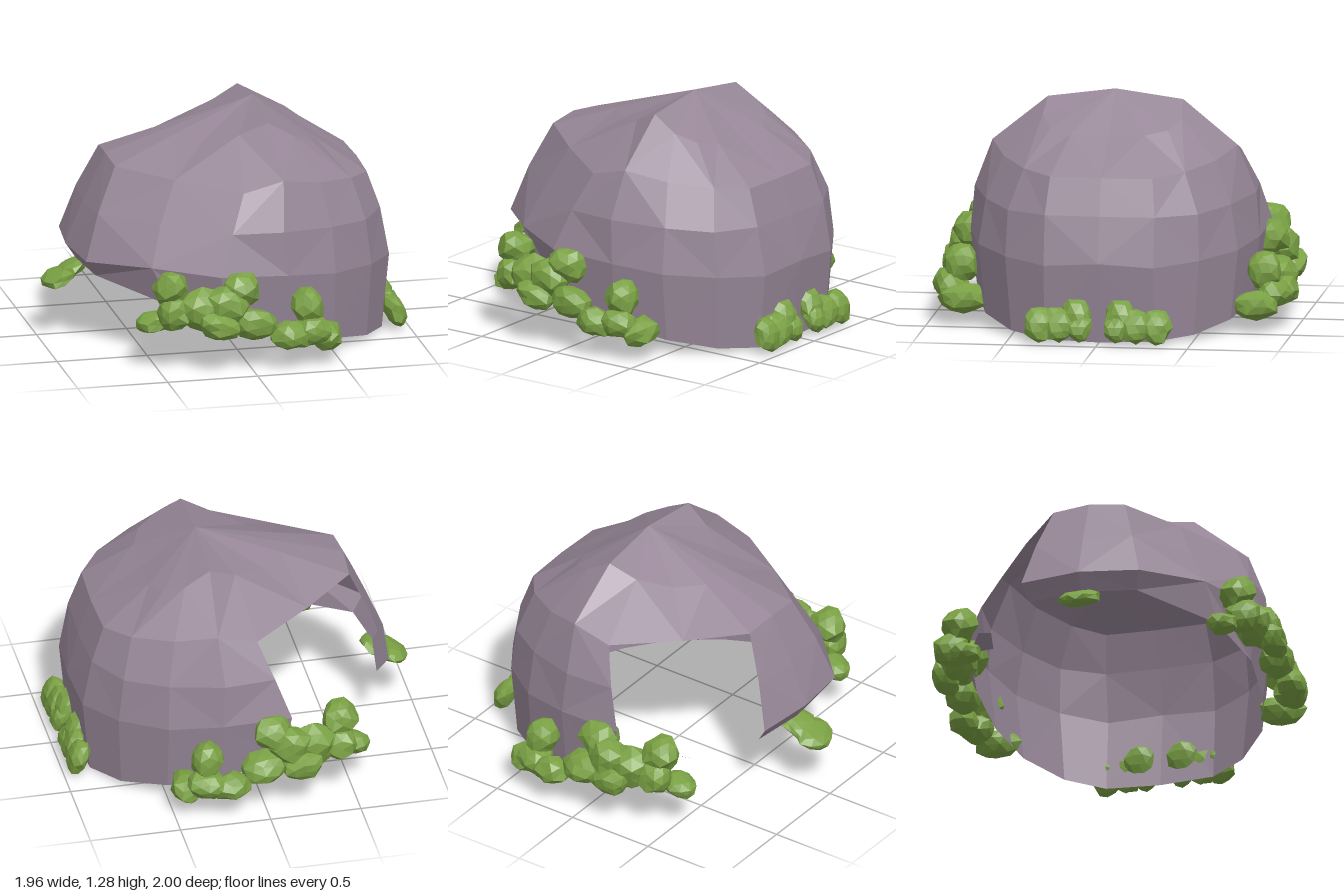
import * as THREE from 'three';

const rock = new THREE.MeshStandardMaterial({ color: 0x968697, side: THREE.DoubleSide });
rock.name = 'mauve stone';
const leaf = new THREE.MeshStandardMaterial({ color: 0x7aa144 });
leaf.name = 'leaf green';

// Half rings of the shell, from +x round the front to -x, mirrored in z
const RINGS = [
  // tilted rim
  [[.86, .01, 0], [.85, .02, .3], [.72, .04, .5], [.5, .09, .67], [.22, .15, .75],
    [-.1, .23, .77], [-.4, .33, .66], [-.74, .42, .3], [-.78, .43, 0]],
  // belly
  [[.91, .45, 0], [.89, .43, .3], [.74, .45, .53], [.5, .47, .71], [.22, .5, .79],
    [-.16, .52, .81], [-.5, .54, .62], [-.8, .51, .33], [-.84, .52, 0]],
  // upper wall
  [[.85, .7, 0], [.84, .7, .3], [.71, .7, .52], [.49, .72, .67], [.2, .74, .77],
    [-.08, .74, .75], [-.43, .75, .52], [-.72, .76, .27], [-.745, .75, 0]],
  // shoulder
  [[.78, .9, 0], [.77, .9, .28], [.65, .92, .44], [.44, .95, .58], [.22, 1, .67],
    [0, .94, .66], [-.33, .97, .43], [-.61, 1, .2], [-.62, 1.02, 0]],
  // crown, with the cross ridge at x = 0.2
  [[.5, 1.08, 0], [.5, 1.09, .2], [.45, 1.11, .32], [.34, 1.16, .38], [.2, 1.24, .37],
    [.05, 1.17, .33], [-.12, 1.125, .22], [-.25, 1.13, .1], [-.25, 1.14, 0]],
];
const APEX = [.2, 1.29, 0];
const N = 16;

function ringPoint(level, j) {
  j %= N;
  if (j <= 8) return RINGS[level][j];
  const [x, y, z] = RINGS[level][N - j];
  return [x, y, -z];
}

function facets(points) {
  const g = new THREE.BufferGeometry();
  g.setAttribute('position', new THREE.Float32BufferAttribute(points.flat(), 3));
  g.computeVertexNormals();
  return g;
}

function shellGeometry() {
  const tris = [];
  for (let i = 0; i < RINGS.length - 1; i++) {
    for (let j = 0; j < N; j++) {
      // doorway at the back, towards -x
      if (i < 3 && (j === 9 || j === 10)) continue;
      const a = ringPoint(i, j), b = ringPoint(i, j + 1);
      const c = ringPoint(i + 1, j + 1), d = ringPoint(i + 1, j);
      if ((i + j) % 2) tris.push(a, d, c, a, c, b);
      else tris.push(a, d, b, d, c, b);
    }
  }
  for (let j = 0; j < N; j++) tris.push(ringPoint(4, j), APEX, ringPoint(4, j + 1));
  return facets(tris);
}

// Lumpy faceted ball; equal corners get equal offsets so it stays closed
function lumpGeometry(seed) {
  const g = new THREE.IcosahedronGeometry(1, 1);
  const p = g.attributes.position;
  const v = new THREE.Vector3();
  for (let i = 0; i < p.count; i++) {
    v.fromBufferAttribute(p, i);
    const s = Math.sin(Math.round(v.x * 50) * 1.7 + Math.round(v.y * 50) * 2.3
      + Math.round(v.z * 50) * 3.1 + seed * 7.7) * 43.7;
    v.multiplyScalar(.86 + .28 * (s - Math.floor(s)));
    p.setXYZ(i, v.x, v.y, v.z);
  }
  g.computeVertexNormals();
  return g;
}

// Each lump: centre x y z, half sizes x y z, tilt about z
function bush(name, lumps, mirror = 1) {
  const group = new THREE.Group();
  group.name = name;
  lumps.forEach(([x, y, z, sx, sy, sz, tilt = 0], i) => {
    const m = new THREE.Mesh(lumpGeometry(i + 1), leaf);
    m.name = 'leafClump';
    m.position.set(x, y, z * mirror);
    m.scale.set(sx, sy, sz);
    m.rotation.z = tilt;
    group.add(m);
  });
  return group;
}

const SIDE_LUMPS = [
  [-.51, .27, .72, .1, .06, .085, .3],
  [-.43, .47, .78, .1, .1, .1],
  [-.42, .34, .82, .1, .1, .1],
  [-.27, .35, .83, .13, .12, .11],
  [-.14, .38, .86, .12, .11, .1],
  [-.2, .28, .92, .12, .075, .08, -.2],
  [-.05, .45, .82, .11, .1, .1],
  [.02, .27, .88, .13, .09, .09, -.2],
  [.2, .2, .92, .11, .075, .08, -.2],
  [.32, .33, .83, .09, .11, .09],
  [.33, .21, .88, .11, .08, .1],
  [.42, .16, .8, .09, .08, .13],
];

const END_LUMPS = [
  [.92, .115, .32, .055, .1, .085, .3],
  [.92, .115, .21, .055, .1, .1, .35],
  [.89, .16, .12, .055, .11, .09, .35],
  [.93, .1, .1, .045, .08, .07, .3],
];

export function createModel() {
  const model = new THREE.Group();
  model.name = 'rockShelter';

  const shell = new THREE.Mesh(shellGeometry(), rock);
  shell.name = 'rockShell';
  model.add(shell);

  // thin broken ledge left along the rim of the doorway
  const shard = new THREE.Mesh(facets([
    [-.1, .23, -.77], [-.22, .34, -.8], [-.38, .33, -.73],
    [-.38, .33, -.73], [-.47, .4, -.66], [-.38, .34, -.6],
    [-.38, .34, -.6], [-.47, .4, -.66], [-.54, .36, -.57],
  ]), rock);
  shard.name = 'rimShard';
  model.add(shard);

  model.add(bush('frontBush', SIDE_LUMPS), bush('backBush', SIDE_LUMPS, -1));
  model.add(bush('endBushFront', END_LUMPS), bush('endBushBack', END_LUMPS, -1));

  // flat drooping bush at the raised end
  model.add(bush('raisedEndBush', [
    [-.88, .34, .02, .1, .045, .12, .45],
    [-.81, .38, 0, .11, .04, .1, .5],
  ]));
  return model;
}
